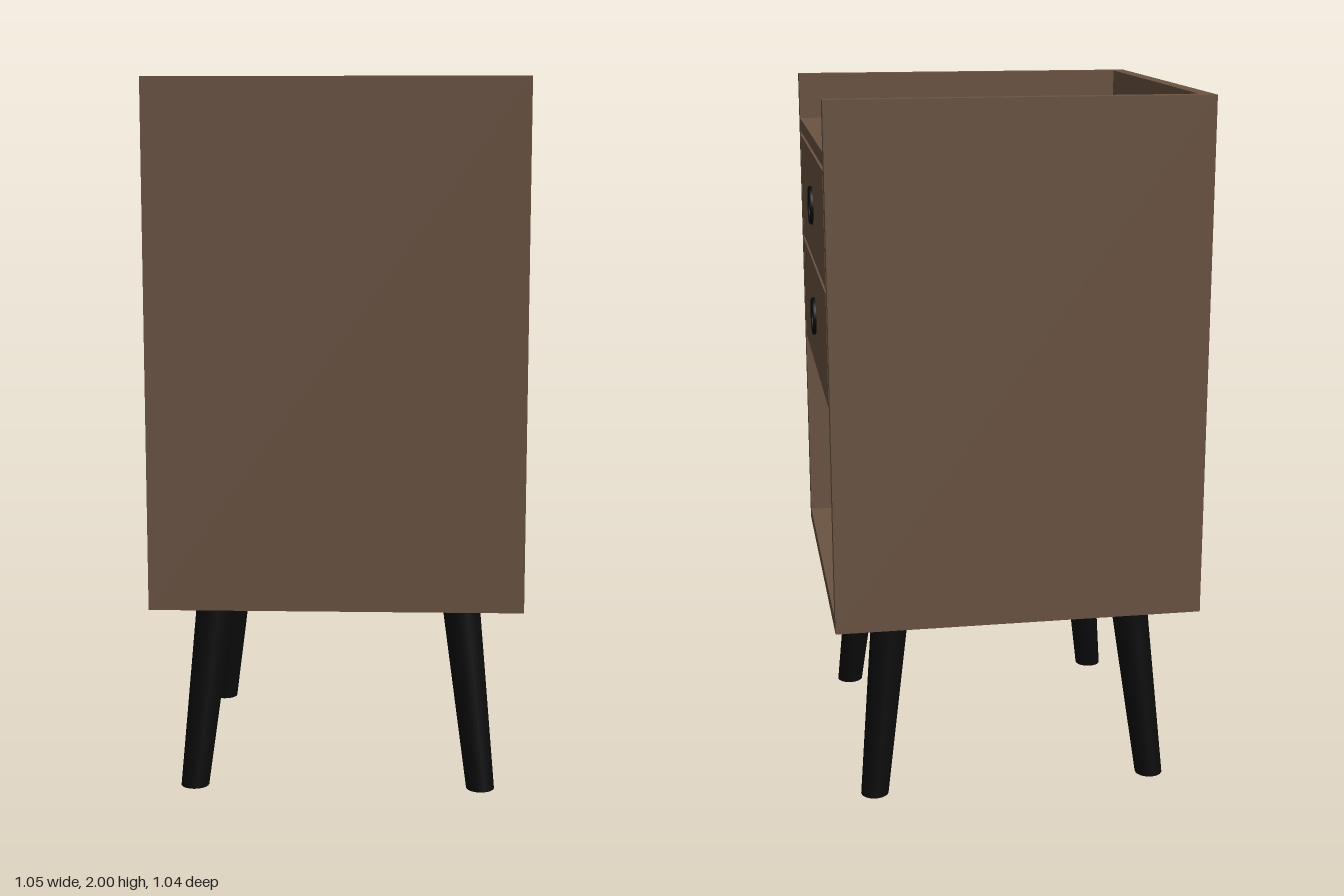
import * as THREE from 'three';

export function createModel() {
  const model = new THREE.Group();
  const wood = new THREE.MeshStandardMaterial({ name: 'brown wood', color: 0x6b5443 });
  const black = new THREE.MeshStandardMaterial({ name: 'black', color: 0x0b0b0b });
  const red = new THREE.MeshStandardMaterial({ name: 'dark red', color: 0x3e0a10 });

  // Box given by its lower and upper limits on each axis
  function board(name, [x0, x1], [y0, y1], [z0, z1], material = wood, parent = model) {
    const mesh = new THREE.Mesh(new THREE.BoxGeometry(x1 - x0, y1 - y0, z1 - z0), material);
    mesh.position.set((x0 + x1) / 2, (y0 + y1) / 2, (z0 + z1) / 2);
    mesh.name = name;
    parent.add(mesh);
    return mesh;
  }

  // Cabinet shell, open towards +x
  const back = -0.525, front = 0.515, inner = -0.485, half = 0.52, wallIn = 0.48;
  board('frontSidePanel', [back, front], [0.545, 2], [wallIn, half]);
  board('rearSidePanel', [back, front], [0.545, 2], [-half, -wallIn]);
  board('backPanel', [back, inner], [0.545, 2], [-wallIn, wallIn]);
  board('bottomBoard', [inner, front], [0.545, 0.583], [-wallIn, wallIn]);
  board('topBoard', [inner, front], [1.827, 1.865], [-wallIn, wallIn]);

  // Drawers with a round finger hole lined by a black ring
  const w = 0.465, h = 0.155, faceBack = 0.475;
  const ringProfile = [
    [0.055, 0], [0.055, 0.045], [0.053, 0.049], [0.05, 0.05],
    [0.045, 0.049], [0.042, 0.045], [0.042, 0], [0.055, 0],
  ].map(([r, y]) => new THREE.Vector2(r, y));

  for (const [name, y] of [['upperDrawer', 1.66], ['lowerDrawer', 1.335]]) {
    const drawer = new THREE.Group();
    drawer.name = name;
    drawer.position.y = y;
    model.add(drawer);

    const shape = new THREE.Shape([
      new THREE.Vector2(-w, -h), new THREE.Vector2(w, -h),
      new THREE.Vector2(w, h), new THREE.Vector2(-w, h),
    ]);
    shape.holes.push(new THREE.Path().absarc(0, 0, 0.05, 0, Math.PI * 2, true));
    const face = new THREE.Mesh(
      new THREE.ExtrudeGeometry(shape, { depth: front - faceBack, bevelEnabled: false, curveSegments: 24 })
        .rotateY(Math.PI / 2), wood);
    face.position.x = faceBack;
    face.name = 'drawerFront';
    drawer.add(face);

    const ring = new THREE.Mesh(
      new THREE.LatheGeometry(ringProfile, 32).rotateZ(-Math.PI / 2), black);
    ring.position.x = faceBack;
    ring.name = 'pullRing';
    drawer.add(ring);

    // Box behind the front
    board('drawerBottom', [-0.475, faceBack], [-h, -h + 0.015], [-w, w], red, drawer);
    board('drawerBack', [-0.475, -0.455], [-h + 0.015, 0.12], [-w, w], wood, drawer);
    for (const s of [-1, 1]) {
      const z = s * (w - 0.01);
      board('drawerSide', [-0.455, faceBack], [-h + 0.015, 0.12], [z - 0.01, z + 0.01], wood, drawer);
    }
  }

  // Tapered legs, sheared outwards so that both ends stay level
  const legHeight = 0.545, splay = 0.06;
  for (const sx of [-1, 1]) {
    for (const sz of [-1, 1]) {
      const geometry = new THREE.CylinderGeometry(0.054, 0.04, legHeight, 24);
      geometry.translate(0, -legHeight / 2, 0);
      const k = -splay / legHeight;
      geometry.applyMatrix4(new THREE.Matrix4().set(
        1, sx * k, 0, 0,
        0, 1, 0, 0,
        0, sz * k, 1, 0,
        0, 0, 0, 1));
      const leg = new THREE.Mesh(geometry, black);
      leg.position.set(-0.005 + sx * 0.35, legHeight, sz * 0.352);
      leg.name = 'leg';
      model.add(leg);
    }
  }
  return model;
}
